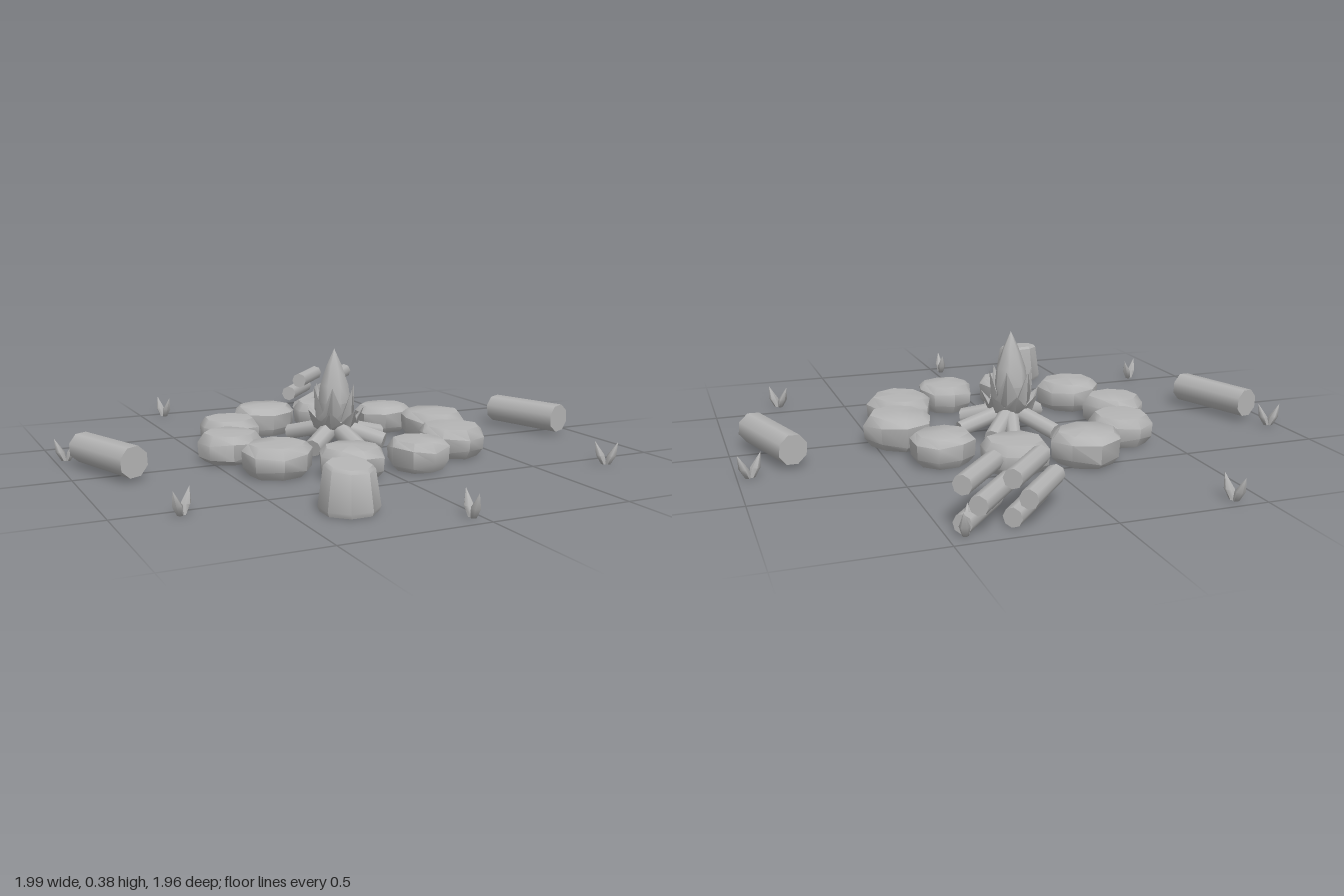
import * as THREE from 'three';
import { mergeVertices, toCreasedNormals } from 'three/addons/utils/BufferGeometryUtils.js';

const V = (x, y, z) => new THREE.Vector3(x, y, z);
const clay = new THREE.MeshStandardMaterial({ color: 0xb4b4b4, side: THREE.DoubleSide });
clay.name = 'grey clay';

let seed = 7;
const rand = () => (seed = (seed * 16807) % 2147483647) / 2147483647;

function add(parent, name, geometry) {
  const mesh = new THREE.Mesh(geometry, clay);
  mesh.name = name;
  parent.add(mesh);
  return mesh;
}

function addGroup(parent, name) {
  const g = new THREE.Group();
  g.name = name;
  parent.add(g);
  return g;
}

// Eight-sided log running from a to b
function addLog(parent, name, a, b, r0, r1 = r0) {
  const dir = b.clone().sub(a);
  const mesh = add(parent, name, new THREE.CylinderGeometry(r1, r0, dir.length(), 8));
  mesh.position.copy(a).add(b).multiplyScalar(0.5);
  mesh.quaternion.setFromUnitVectors(V(0, 1, 0), dir.normalize());
  return mesh;
}

// Turned profile, merged at its seam, with an optional rule that moves each vertex
function turned(profile, sides, crease, rule) {
  let geo = new THREE.LatheGeometry(profile.map(([r, y]) => new THREE.Vector2(r, y)), sides);
  geo.deleteAttribute('uv');
  geo.deleteAttribute('normal');
  geo = mergeVertices(geo, 1e-4);
  if (rule) {
    const p = geo.attributes.position;
    for (let i = 0; i < p.count; i++) {
      const v = V().fromBufferAttribute(p, i);
      rule(v);
      p.setXYZ(i, v.x, v.y, v.z);
    }
  }
  return toCreasedNormals(geo, crease);
}

// Chunky flat-bottomed stone with an uneven outline
function stoneGeometry(rx, rz, h) {
  const n = 8, turn = rand() * Math.PI;
  const bumps = Array.from({ length: n }, () => 0.92 + rand() * 0.14);
  const profile = [[0, 0], [0.78, 0], [0.97, 0.24], [1, 0.7], [0.8, 0.94], [0, 1]];
  return turned(profile, n, 0.75, (v) => {
    const a = Math.atan2(v.z, v.x);
    const k = bumps[(Math.round(a / (2 * Math.PI) * n) + n) % n];
    const r = Math.hypot(v.x, v.z) * k;
    if (v.y > 0.1 && v.y < 0.9) v.y += (rand() - 0.5) * 0.16;
    v.set(Math.cos(a + turn) * r * rx, v.y * h, Math.sin(a + turn) * r * rz);
  });
}

// Zigzag cup of flame tongues
function crownGeometry(count, base, valley, tip, turn) {
  const pos = [], idx = [], n = count * 2;
  for (let i = 0; i < n; i++) {
    const a = turn + i * Math.PI * 2 / n;
    const [r, y] = i % 2 ? valley : tip;
    const mid = (base[1] + valley[1]) / 2;
    const midR = (base[0] + valley[0]) / 2 + (i % 2 ? 0 : 0.018);
    for (const [q, h] of [base, [midR, mid], [r, y]]) pos.push(Math.sin(a) * q, h, Math.cos(a) * q);
    const j = (i + 1) % n;
    for (let k = 0; k < 2; k++) {
      const p = i * 3 + k, s = j * 3 + k;
      idx.push(p, s, s + 1, p, s + 1, p + 1);
    }
  }
  const geo = new THREE.BufferGeometry();
  geo.setAttribute('position', new THREE.Float32BufferAttribute(pos, 3));
  geo.setIndex(idx);
  return toCreasedNormals(geo, 0.8);
}

export function createModel() {
  const model = new THREE.Group();
  model.name = 'campfire';

  // Ring of stones: x, z, half width, half depth, height
  const ring = addGroup(model, 'stoneRing');
  [
    [-0.14, -0.45, 0.125, 0.122, 0.118], [0.12, -0.45, 0.115, 0.112, 0.112],
    [0.325, -0.3, 0.115, 0.112, 0.11], [0.415, -0.05, 0.122, 0.135, 0.12],
    [0.345, 0.2, 0.127, 0.138, 0.115], [0.125, 0.345, 0.108, 0.114, 0.112],
    [-0.138, 0.35, 0.118, 0.112, 0.112], [-0.35, 0.21, 0.124, 0.124, 0.116],
    [-0.425, -0.05, 0.112, 0.114, 0.11], [-0.345, -0.295, 0.112, 0.118, 0.112],
  ].forEach(([x, z, rx, rz, h], i) => {
    add(ring, 'stone' + (i + 1), stoneGeometry(rx, rz, h)).position.set(x, 0, z);
  });

  // Fire logs leaning in to the middle: outer end x, z and radius
  const fire = addGroup(model, 'fire');
  const cx = -0.01, cz = -0.055;
  [
    [-0.01, 0.165, 0.034], [-0.155, 0.07, 0.033], [0.135, 0.07, 0.032], [0.195, -0.085, 0.029],
    [0.12, -0.225, 0.03], [0.045, -0.24, 0.027], [-0.115, -0.235, 0.03],
  ].forEach(([x, z, r], i) => {
    const inner = V(cx + (cx - x) * 0.12, 0.1, cz + (cz - z) * 0.12);
    addLog(fire, 'fireLog' + (i + 1), V(x, 0.04, z), inner, r);
  });

  // Flame core and two crowns of tongues
  const flame = addGroup(fire, 'flame');
  flame.position.set(-0.012, 0, -0.05);
  add(flame, 'flameCore', turned(
    [[0, 0.08], [0.045, 0.1], [0.062, 0.18], [0.054, 0.245], [0.028, 0.32], [0, 0.38]], 7, 0.9));
  add(flame, 'innerTongues', crownGeometry(6, [0.04, 0.08], [0.074, 0.15], [0.083, 0.243], Math.PI / 2));
  add(flame, 'outerTongues', crownGeometry(7, [0.05, 0.07], [0.088, 0.115], [0.11, 0.16], 0.3));

  // Log seats on both sides
  addLog(model, 'rightLogSeat', V(-0.92, 0.066, -0.205), V(-0.815, 0.066, 0.105), 0.054, 0.056);
  addLog(model, 'leftLogSeat', V(0.81, 0.066, -0.205), V(0.905, 0.066, 0.105), 0.054, 0.056);

  // Tapered stump with a slightly tilted top
  const stump = add(model, 'stump', turned(
    [[0, 0], [0.09, 0], [0.096, 0.015], [0.079, 0.135], [0.07, 0.145], [0, 0.145]], 8, 0.6,
    (v) => { if (v.y > 0.1) v.y -= v.z * 0.1; }));
  stump.position.set(-0.325, 0, 0.72);
  stump.rotation.y = Math.PI / 8;

  // Woodpile: two columns of three logs
  const pile = addGroup(model, 'woodpile');
  for (const x of [0.205, 0.355]) {
    for (let row = 0; row < 3; row++) {
      const s = row === 1 ? -0.02 : 0.02;
      const mid = V(x + s, 0.03 + row * 0.058, -0.852 + s * 0.6);
      const half = V(0.078, 0, -0.09);
      addLog(pile, 'splitLog', mid.clone().sub(half), mid.clone().add(half), 0.031);
    }
  }

  // Grass tufts, each a pair of flattened blades spread along the line from the centre
  const tufts = addGroup(model, 'grassTufts');
  [
    [-0.41, -0.95], [0.445, -0.935], [-0.96, -0.295], [0.958, -0.245],
    [-0.79, 0.545], [0.75, 0.585], [-0.03, 0.935],
  ].forEach(([x, z]) => {
    const tuft = addGroup(tufts, 'grassTuft');
    tuft.position.set(x, 0, z);
    tuft.rotation.y = -Math.atan2(z, x);
    for (const side of [-1, 1]) {
      const geo = turned([[0, 0], [0.01, 0], [0.017, 0.032], [0, 0.082]], 6, 1.2, (v) => {
        v.x += side * (0.007 + v.y * 0.4);
      });
      add(tuft, 'grassBlade', geo);
    }
  });

  return model;
}
